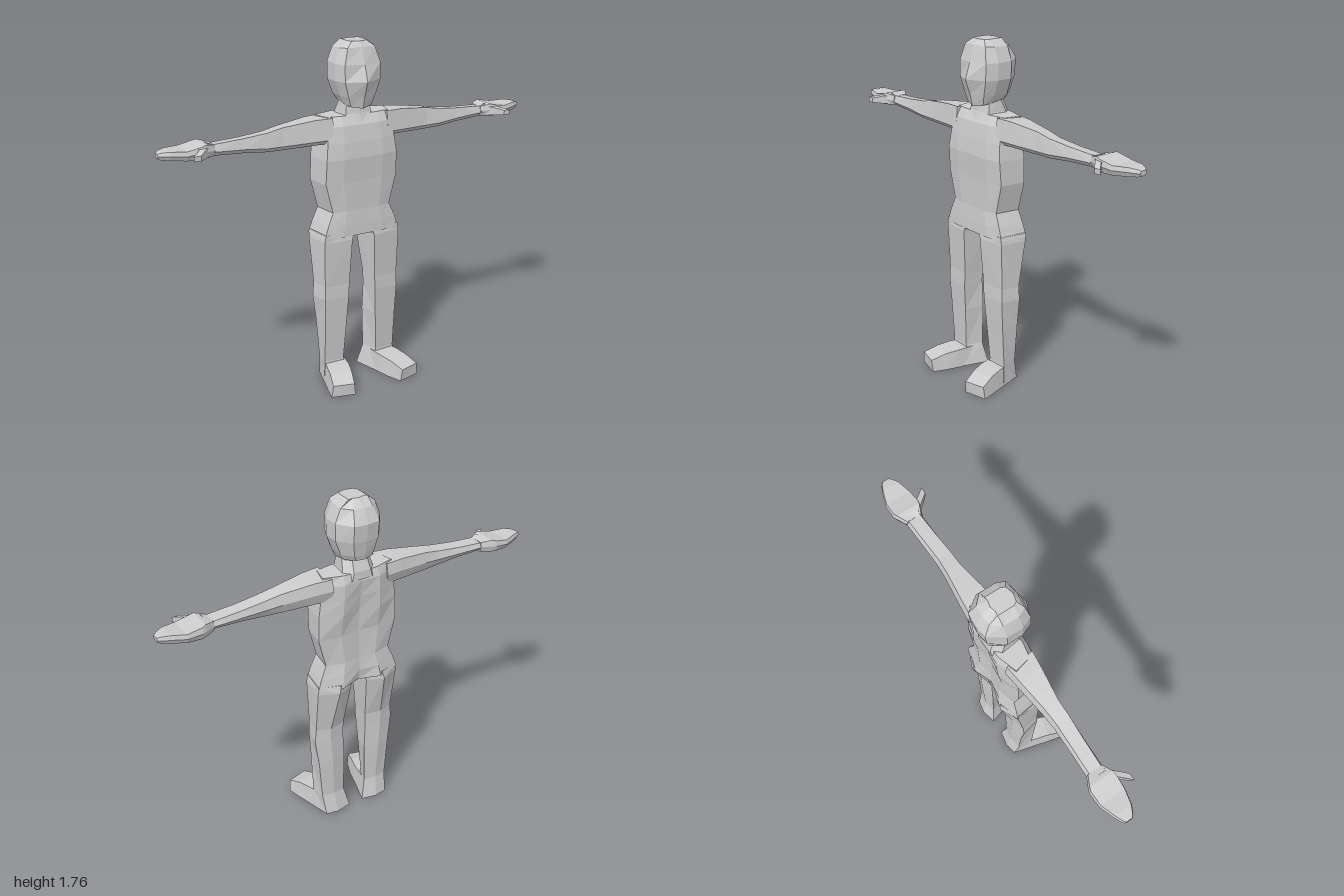
import * as THREE from 'three';

const material = new THREE.MeshStandardMaterial({ color: 0xcccccc, flatShading: true });

// Skins a row of equal-length rings of [x, y, z] points, closes both ends and faces it outwards.
function loft(name, rings) {
  const tris = [];
  const n = rings[0].length;
  for (let r = 0; r < rings.length - 1; r++) {
    for (let i = 0; i < n; i++) {
      const j = (i + 1) % n;
      const [a, b, c, d] = [rings[r][i], rings[r][j], rings[r + 1][j], rings[r + 1][i]];
      tris.push([a, b, c], [a, c, d]);
    }
  }
  const cap = (ring, flip) => {
    const mid = [0, 1, 2].map((k) => ring.reduce((s, p) => s + p[k], 0) / n);
    ring.forEach((p, i) => {
      const q = ring[(i + 1) % n];
      tris.push(flip ? [mid, q, p] : [mid, p, q]);
    });
  };
  cap(rings[0], true);
  cap(rings[rings.length - 1], false);

  // A negative volume means the rings run the other way round
  let volume = 0;
  for (const [a, b, c] of tris) {
    volume += a[0] * (b[1] * c[2] - b[2] * c[1]) + a[1] * (b[2] * c[0] - b[0] * c[2])
      + a[2] * (b[0] * c[1] - b[1] * c[0]);
  }
  if (volume < 0) tris.forEach((t) => t.reverse());

  const geometry = new THREE.BufferGeometry();
  geometry.setAttribute('position', new THREE.Float32BufferAttribute(tris.flat(2), 3));
  geometry.computeVertexNormals();
  const mesh = new THREE.Mesh(geometry, material);
  mesh.name = name;
  return mesh;
}

// Level ring mirrored about x = 0, from half an outline running front centre to back centre.
function symmetricRing(half) {
  const other = half.slice(1, -1).reverse().map(([x, y, z]) => [-x, y, z]);
  return [...half, ...other];
}

function createTorso() {
  // y, half width, front z, side-rear z, back z, spine z
  const levels = [
    [0.80, 0.23, 0.035, -0.125, -0.162, -0.125],
    [0.86, 0.21, 0.033, -0.12, -0.152, -0.135],
    [0.93, 0.18, 0.028, -0.115, -0.14, -0.13],
    [1.08, 0.218, 0.03, -0.115, -0.135, -0.125],
    [1.20, 0.215, 0.038, -0.115, -0.152, -0.13],
    [1.28, 0.205, 0.03, -0.115, -0.155, -0.14],
    [1.36, 0.20, 0.015, -0.115, -0.155, -0.15],
    [1.405, 0.19, -0.01, -0.11, -0.14, -0.145],
  ];
  return loft('torso', levels.map(([y, w, f, s, b, spine]) => symmetricRing([
    [0, y, f], [w * 0.5, y, f], [w - 0.02, y, f - 0.015], [w, y, s], [w * 0.48, y, b], [0, y, spine],
  ])));
}

function createNeck() {
  const levels = [[1.37, 0.10, 0.01, -0.155], [1.41, 0.082, -0.005, -0.152], [1.47, 0.072, -0.015, -0.125],
    [1.52, 0.07, -0.02, -0.12]];
  return loft('neck', levels.map(([y, w, f, b]) => symmetricRing([
    [0, y, f], [w * 0.85, y, f - 0.01], [w, y, b + 0.04], [w * 0.55, y, b], [0, y, b],
  ])));
}

function createHead() {
  // Front y, back y, half width, nose z, cheek z, back z
  const levels = [
    [1.44, 1.475, 0.07, 0.03, 0.01, -0.165],
    [1.50, 1.50, 0.092, 0.045, 0.02, -0.172],
    [1.575, 1.575, 0.12, 0.073, 0.028, -0.187],
    [1.655, 1.66, 0.12, 0.046, 0.027, -0.195],
    [1.735, 1.725, 0.092, 0.02, 0.012, -0.16],
    [1.76, 1.76, 0.05, 0.0, -0.01, -0.115],
  ];
  return loft('head', levels.map(([yf, yb, w, nose, cheek, back]) => {
    const y = (t) => yf + (yb - yf) * t;
    return symmetricRing([
      [0, yf, nose], [w * 0.8, y(0.25), cheek], [w, y(0.5), -0.03], [w, y(0.8), -0.11],
      [w * 0.55, yb, back + 0.008], [0, yb, back],
    ]);
  }));
}

function createArm(side) {
  // x, top y, bottom y, front z, back z
  const sections = [
    [0.15, 1.405, 1.28, 0.015, -0.145],
    [0.24, 1.403, 1.278, 0.005, -0.135],
    [0.40, 1.385, 1.274, -0.015, -0.113],
    [0.48, 1.37, 1.276, -0.014, -0.106],
    [0.60, 1.358, 1.287, -0.02, -0.108],
    [0.74, 1.35, 1.294, -0.025, -0.112],
    [0.77, 1.36, 1.296, -0.02, -0.122],
  ];
  return loft('arm', sections.map(([x, t, b, f, k]) => [
    [t, f - 0.012], [b + 0.022, f], [b, f - 0.022], [b + 0.008, k + 0.02], [(t + b) / 2, k], [t - 0.006, k + 0.012],
  ].map(([y, z]) => [side * x, y, z])));
}

function createHand(side) {
  const hand = new THREE.Group();
  hand.name = 'hand';
  // x, top y, bottom y, front z, back z
  const sections = [
    [0.74, 1.352, 1.295, -0.025, -0.113],
    [0.79, 1.364, 1.294, -0.004, -0.14],
    [0.81, 1.358, 1.293, 0.0, -0.147],
    [0.88, 1.345, 1.295, -0.004, -0.145],
    [0.95, 1.35, 1.302, -0.022, -0.122],
    [0.985, 1.346, 1.305, -0.04, -0.106],
    [1.0, 1.34, 1.31, -0.052, -0.095],
  ];
  hand.add(loft('palmAndFingers', sections.map(([x, t, b, f, k]) => [
    [t - 0.004, f - 0.006], [(t + b) / 2, f], [b + 0.002, f - 0.012],
    [b + 0.002, k + 0.012], [(t + b) / 2, k], [t - 0.004, k + 0.006],
  ].map(([y, z]) => [side * x, y, z]))));

  // Thumb angled forwards: x start, x end, z, top y, bottom y
  const thumb = [[0.76, 0.83, -0.03, 1.348, 1.305], [0.79, 0.825, 0.0, 1.345, 1.302],
    [0.815, 0.85, 0.028, 1.338, 1.305], [0.835, 0.87, 0.05, 1.332, 1.308]];
  hand.add(loft('thumb', thumb.map(([x0, x1, z, t, b]) => [
    [side * x0, t, z], [side * x1, t, z], [side * x1, b, z], [side * x0, b, z],
  ])));
  return hand;
}

function createLeg(side) {
  // y, then x/z of front inner, front outer, side rear, back and inner rear corners
  const levels = [
    [0.82, 0.05, 0.03, 0.205, 0.022, 0.226, -0.12, 0.12, -0.158, 0.03, -0.125],
    [0.78, 0.063, 0.035, 0.212, 0.022, 0.229, -0.12, 0.13, -0.165, 0.045, -0.13],
    [0.54, 0.074, 0.02, 0.208, 0.012, 0.224, -0.085, 0.15, -0.108, 0.066, -0.09],
    [0.47, 0.078, 0.021, 0.21, 0.014, 0.231, -0.085, 0.15, -0.107, 0.068, -0.09],
    [0.33, 0.085, 0.01, 0.206, 0.005, 0.212, -0.09, 0.14, -0.108, 0.062, -0.092],
    [0.11, 0.098, -0.005, 0.204, -0.01, 0.195, -0.09, 0.13, -0.102, 0.066, -0.09],
    [0, 0.08, 0.02, 0.215, 0.0, 0.185, -0.115, 0.12, -0.127, 0.04, -0.11],
  ];
  return loft('leg', levels.map(([y, ...xz]) =>
    [0, 2, 4, 6, 8].map((i) => [side * xz[i], y, xz[i + 1]])));
}

function createFoot(side) {
  // Inner x/z, outer x/z, top y, top inset
  const sections = [
    [0.07, -0.04, 0.2, -0.06, 0.10, 0.012],
    [0.085, 0.045, 0.22, 0.02, 0.098, 0.01],
    [0.105, 0.115, 0.238, 0.085, 0.09, 0.012],
    [0.135, 0.19, 0.256, 0.16, 0.065, 0.008],
  ];
  return loft('foot', sections.map(([xi, zi, xo, zo, t, inset]) => [
    [side * xi, 0, zi], [side * xo, 0, zo],
    [side * (xo - inset), t, zo + 0.005], [side * (xi + inset), t, zi + 0.005],
  ]));
}

export function createModel() {
  const figure = new THREE.Group();
  figure.name = 'standingFigure';
  figure.add(createTorso(), createNeck(), createHead());
  for (const side of [1, -1]) {
    const prefix = side > 0 ? 'left' : 'right';
    const parts = { Arm: createArm, Hand: createHand, Leg: createLeg, Foot: createFoot };
    for (const [label, build] of Object.entries(parts)) {
      const part = build(side);
      part.name = prefix + label;
      figure.add(part);
    }
  }
  return figure;
}
